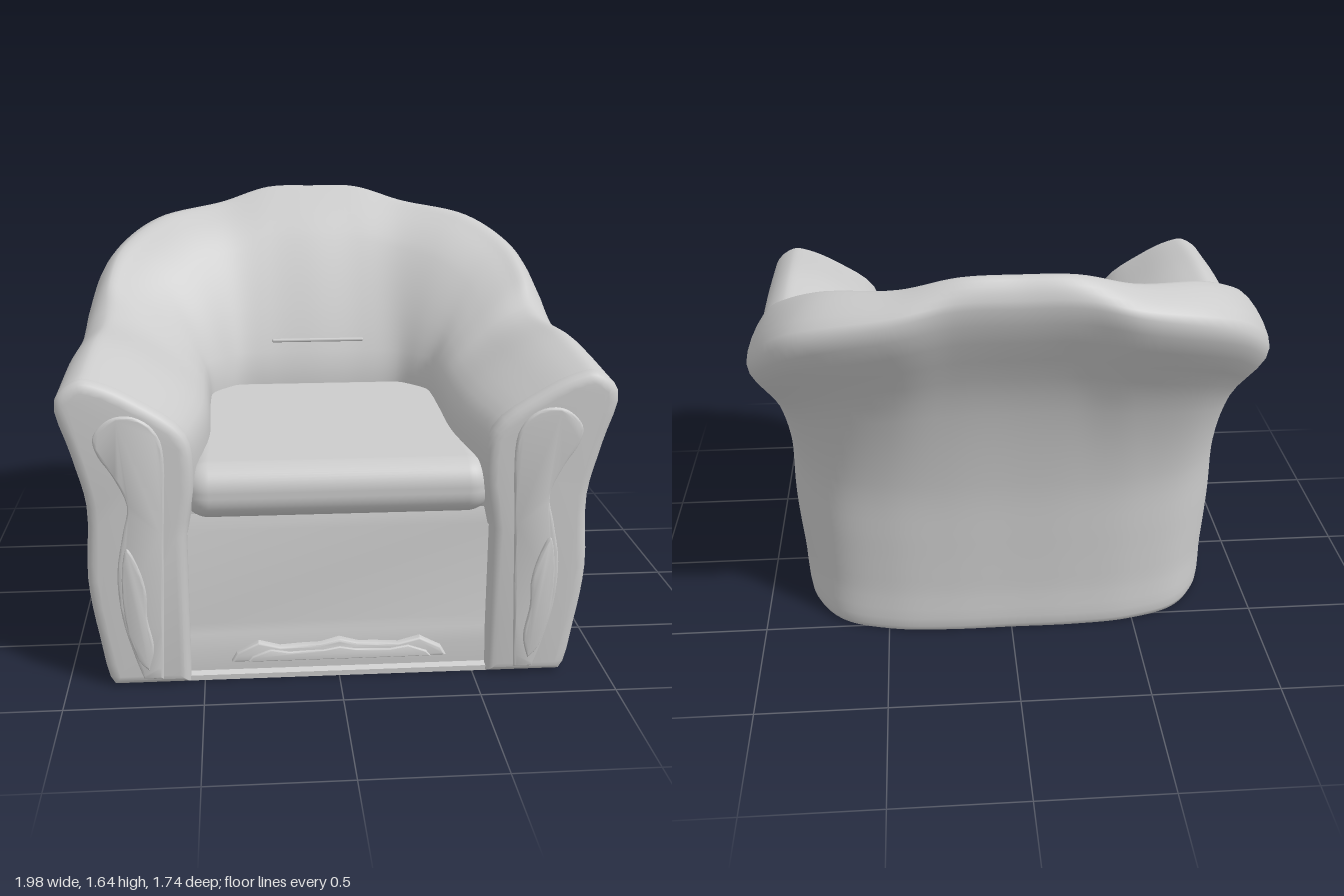
import * as THREE from 'three';
import { toCreasedNormals } from 'three/addons/utils/BufferGeometryUtils.js';
import { RoundedBoxGeometry } from 'three/addons/geometries/RoundedBoxGeometry.js';

const V = (x, y, z) => new THREE.Vector3(x, y, z);
const material = new THREE.MeshStandardMaterial({ color: 0xcccccc, side: THREE.DoubleSide });

function part(name, geometry) {
  const mesh = new THREE.Mesh(geometry, material);
  mesh.name = name;
  return mesh;
}

// Stations from the middle of the back round to the arm front:
// base x,z | belly | inner x,z | padding | crest x,y,z | roll x,y,z
const STATIONS = [
  [0.00, -.55, .00, 0.00, -.32, .20, 0.00, 1.64, -.79, 0.00, 1.54, -.84],
  [0.25, -.55, .00, 0.20, -.32, .20, 0.20, 1.635, -.79, 0.22, 1.54, -.85],
  [0.48, -.53, .00, 0.34, -.30, .20, 0.41, 1.575, -.74, 0.43, 1.50, -.87],
  [0.68, -.46, .00, 0.41, -.24, .18, 0.68, 1.525, -.61, 0.79, 1.40, -.77],
  [0.79, -.32, .01, 0.46, -.17, .15, 0.85, 1.42, -.44, 0.955, 1.23, -.54],
  [0.83, -.12, .03, 0.47, -.08, .12, 0.90, 1.30, -.25, 0.99, 1.13, -.28],
  [0.83, 0.10, .04, 0.47, 0.10, .12, 0.90, 1.19, -.08, 0.99, 1.09, -.05],
  [0.83, 0.45, .05, 0.47, 0.45, .12, 0.90, 1.20, 0.42, 0.99, 1.10, 0.45],
  [0.83, 0.80, .06, 0.52, 0.80, .11, 0.91, 1.16, 0.80, 0.99, 1.09, 0.80],
];

// Key points of one cross-section, from the inner wall over the crest to the ground
function section([bx, bz, belly, ix, iz, pad, tx, ty, tz, ox, oy, oz]) {
  const out = V(bx - ix, 0, bz - iz).normalize();
  const inner = V(ix, .8, iz), crest = V(tx, ty, tz), roll = V(ox, oy, oz);
  const at = (x, z, y, d) => V(x, y, z).addScaledVector(out, d);
  const neck = at(bx, bz, .7, .025 + belly * .75);
  return [
    at(ix, iz, .58, .03),
    inner,
    at(ix, iz, .96, .025),
    inner.clone().lerp(crest, .5).add(V(0, pad, 0)),
    inner.clone().lerp(crest, .82).add(V(0, pad / 2, 0)),
    crest,
    roll,
    roll.clone().lerp(neck, .5).addScaledVector(out, (belly - .06) * .8),
    neck,
    at(bx, bz, .42, .01 + belly * 1.15),
    at(bx, bz, .2, .005 + belly * .75),
    at(bx, bz, 0, 0),
    at(bx, bz, 0, -.06),
  ];
}

function sampleSection(points, n) {
  const pts = new THREE.CatmullRomCurve3(points).getPoints(n);
  pts.forEach(p => { p.y = Math.max(0, p.y); });
  return pts;
}

// Upholstered shell: smooth surface through all cross-sections
function shellGeometry() {
  const half = STATIONS.map(section);
  const mirrored = half.slice(1).reverse().map(s => s.map(p => V(-p.x, p.y, p.z)));
  const all = [...mirrored, ...half];
  const rails = all[0].map((_, k) => new THREE.CatmullRomCurve3(all.map(s => s[k])));
  const NU = 112, NV = 60, positions = [], index = [];
  for (let i = 0; i <= NU; i++) {
    for (const p of sampleSection(rails.map(r => r.getPoint(i / NU)), NV)) positions.push(p.x, p.y, p.z);
  }
  for (let i = 0; i < NU; i++) {
    for (let j = 0; j < NV; j++) {
      const a = i * (NV + 1) + j, b = a + NV + 1;
      index.push(a, a + 1, b, b, a + 1, b + 1);
    }
  }
  const g = new THREE.BufferGeometry();
  g.setAttribute('position', new THREE.Float32BufferAttribute(positions, 3));
  g.setIndex(index);
  g.computeVertexNormals();
  return g;
}

// Extruded plate between two z values with rounded edges
function plate(points, z0, z1, bevel) {
  const g = new THREE.ExtrudeGeometry(new THREE.Shape(points), {
    depth: z1 - z0 - 2 * bevel, bevelEnabled: true, bevelThickness: bevel,
    bevelSize: bevel, bevelOffset: -bevel, bevelSegments: 4,
  });
  g.translate(0, 0, z0 + bevel);
  return toCreasedNormals(g, .6);
}

const pairs = list => list.map(([x, y]) => new THREE.Vector2(x, y));
const smooth = (list, n) => new THREE.SplineCurve(pairs(list)).getPoints(n);

function armFront() {
  const arm = new THREE.Group();
  // Padded face closing the arm
  const outline = sampleSection(section(STATIONS[STATIONS.length - 1]), 48)
    .filter(p => p.y > .005).map(p => new THREE.Vector2(p.x, p.y));
  outline.push(new THREE.Vector2(.83, 0), new THREE.Vector2(.55, 0));
  arm.add(part('armFace', plate(outline, .75, .85, .04)));
  // Raised paddle-shaped panel
  const paddle = smooth([[.65, .03], [.64, .3], [.63, .6], [.62, .88], [.65, .985], [.72, 1.035], [.80, 1.03],
    [.86, .97], [.85, .9], [.80, .82], [.755, .71], [.775, .6], [.80, .45], [.79, .28], [.75, .12], [.72, .03]], 60);
  arm.add(part('armPanel', plate(paddle, .825, .859, .01)));
  // Leaf carving on the lower half
  const leaf = smooth([[.70, .07], [.68, .16], [.70, .28], [.70, .38], [.725, .48], [.765, .55],
    [.785, .42], [.775, .25], [.74, .12], [.70, .07]], 44);
  arm.add(part('armLeaf', plate(leaf, .84, .868, .008)));
  return arm;
}

// Front board: a thin sheet bent to a profile of [z, y] points, top to bottom
function boardGeometry() {
  const profile = [[.765, .64], [.78, .58], [.78, .21], [.79, .17], [.80, .12], [.80, .03], [.82, .02], [.82, 0]];
  const g = new THREE.PlaneGeometry(1.11, 1, 1, profile.length - 1);
  const p = g.attributes.position;
  for (let i = 0; i < p.count; i++) {
    const [z, y] = profile[Math.floor(i / 2)];
    p.setXYZ(i, p.getX(i), y, z);
  }
  return toCreasedNormals(g, .6);
}

export function createModel() {
  const chair = new THREE.Group();
  chair.name = 'armchair';
  chair.add(part('shell', shellGeometry()));

  for (const side of [1, -1]) {
    const arm = armFront();
    arm.name = side > 0 ? 'leftArmFront' : 'rightArmFront';
    arm.scale.x = side;
    chair.add(arm);
  }

  // Seat cushion
  const seat = part('seatCushion', new RoundedBoxGeometry(1.13, .21, 1.2, 6, .095));
  seat.position.set(0, .722, .22);
  chair.add(seat);

  chair.add(part('frontBoard', boardGeometry()));

  // Carved crest on the front board
  const right = [[.4, .07], [.38, .105], [.3, .145], [.22, .125], [.14, .13], [.07, .132]];
  const crest = [...right, [0, .15], ...right.map(([x, y]) => [-x, y]).reverse()];
  chair.add(part('frontCarving', plate(pairs(crest), .77, .825, .012)));
  const inlay = crest.map(([x, y]) => [x * .85, .075 + (y - .07) * .6]);
  chair.add(part('frontCarvingInlay', plate(pairs(inlay), .80, .835, .006)));

  // Stitched tuck across the lower back
  const tuck = part('backTuck', new THREE.CapsuleGeometry(.008, .39, 4, 8));
  tuck.rotation.z = Math.PI / 2;
  tuck.position.set(0, 1.01, -.35);
  chair.add(tuck);
  return chair;
}
